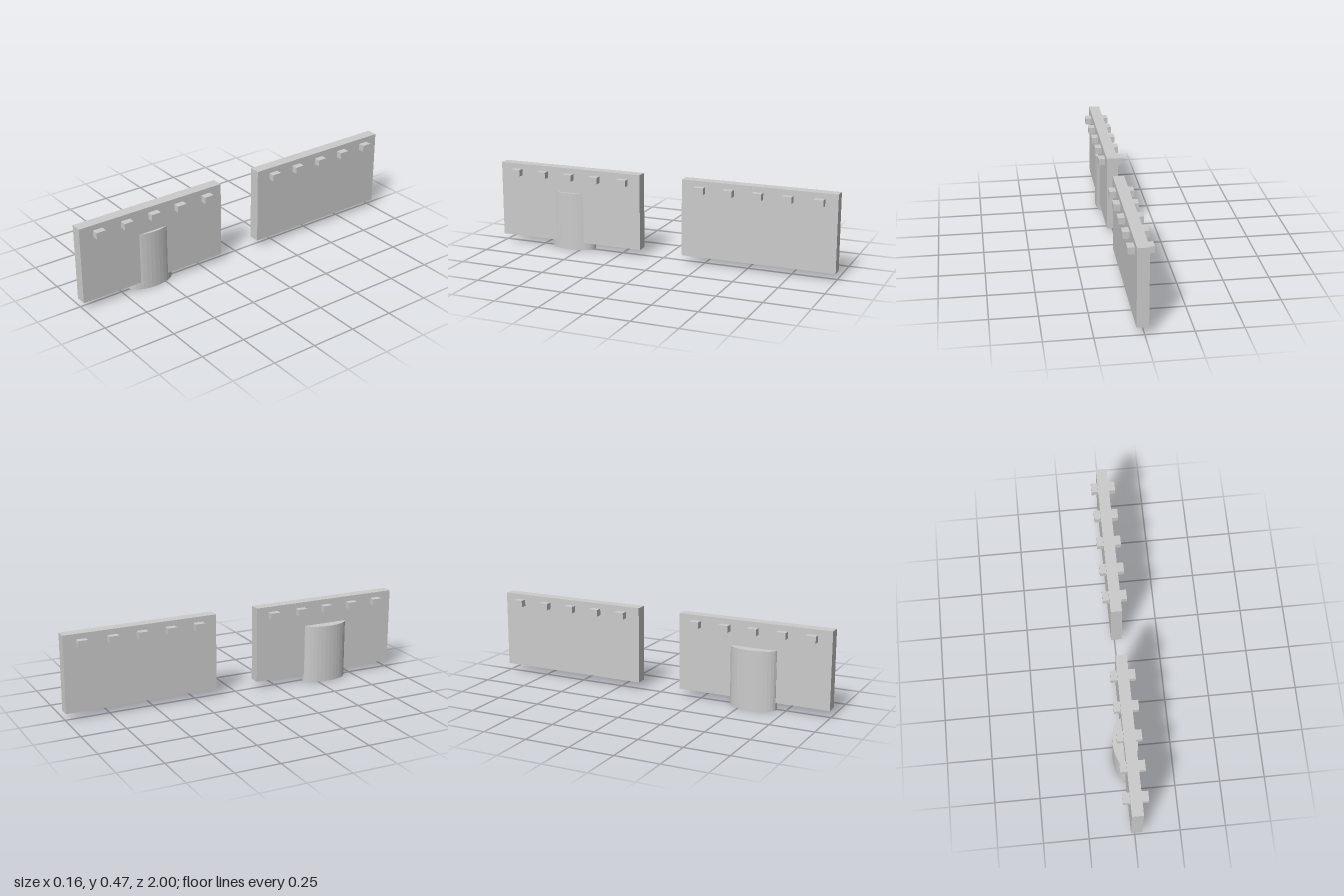
import * as THREE from 'three';

export function createModel() {
  const model = new THREE.Group();
  const material = new THREE.MeshStandardMaterial({ color: 0xcccccc });
  const flatMaterial = new THREE.MeshStandardMaterial({ color: 0xcccccc, flatShading: true });
  const centreX = 0.01;

  function addBox(parent, name, size, position) {
    const mesh = new THREE.Mesh(new THREE.BoxGeometry(...size), material);
    mesh.name = name;
    mesh.position.set(...position);
    parent.add(mesh);
  }

  // Two upright panels, each with a row of crossbars passing through near the top
  const sections = [
    { name: 'front', z: 0.563, pegs: [0.226, 0.4, 0.563, 0.728, 0.893] },
    { name: 'back', z: -0.563, pegs: [-0.235, -0.399, -0.564, -0.73, -0.902] },
  ];
  for (const { name, z, pegs } of sections) {
    const section = new THREE.Group();
    section.name = name + 'Section';
    addBox(section, name + 'Panel', [0.062, 0.431, 0.874], [centreX, 0.2575, z]);
    pegs.forEach((pegZ, i) =>
      addBox(section, `${name}Crossbar${i + 1}`, [0.134, 0.037, 0.055], [centreX, 0.4245, pegZ]));
    model.add(section);
  }

  // Oval post standing through the front panel
  const post = new THREE.Mesh(new THREE.CylinderGeometry(1, 1, 0.331, 32), flatMaterial);
  post.name = 'ovalPost';
  post.scale.set(0.068, 1, 0.134);
  post.position.set(-0.011, 0.1655, 0.565);
  model.add(post);

  return model;
}
